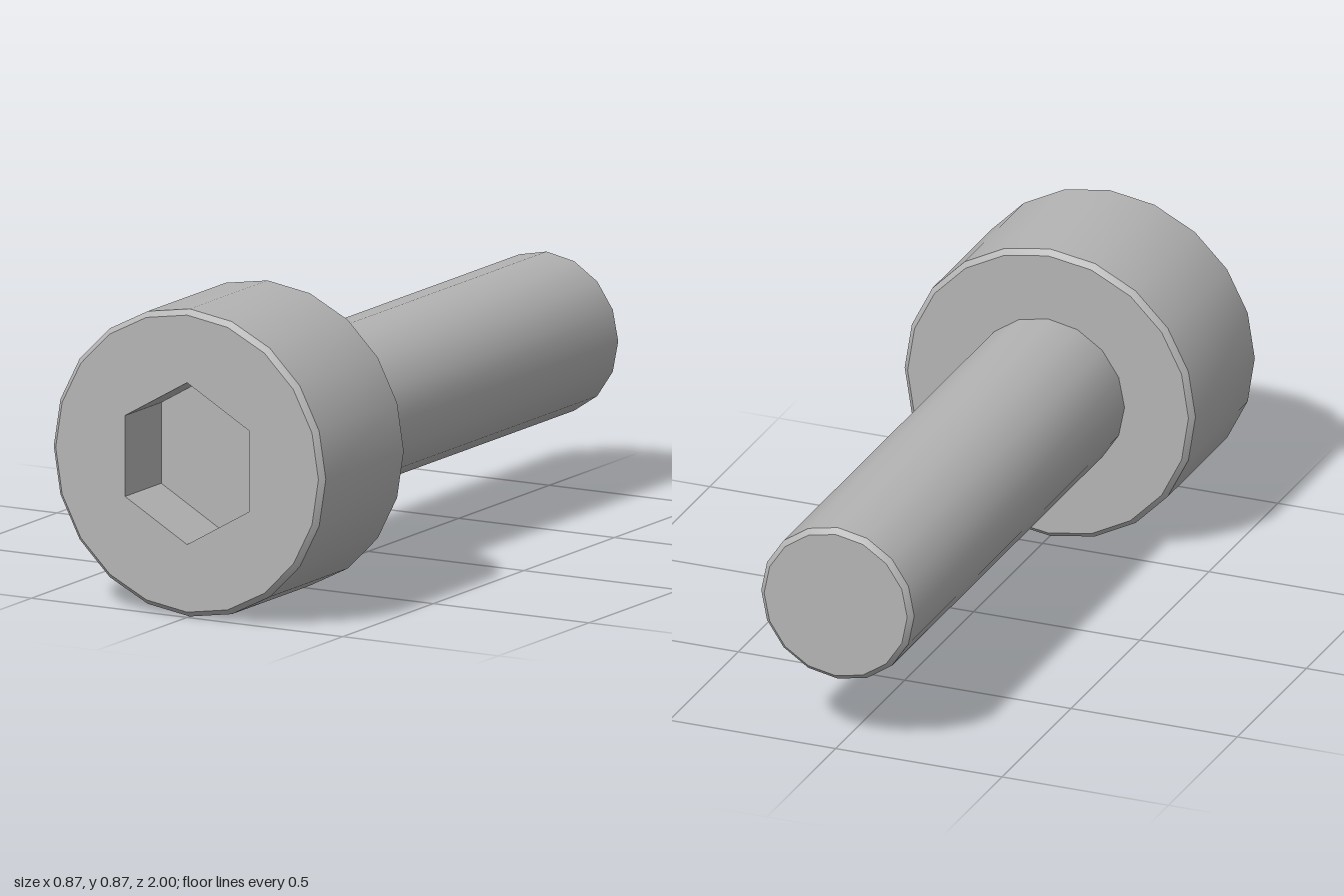
import * as THREE from 'three';
import { toCreasedNormals } from 'three/addons/utils/BufferGeometryUtils.js';

const HEAD_R = 0.437, SHAFT_R = 0.23, BEVEL = 0.015;
const HEAD_BACK = 0.54, FRONT = 1, BACK = -1, SOCKET_DEPTH = 0.2;

// Turn a [radius, z] profile around the z axis, with crisp bevels
function turned(profile, sides) {
  const points = profile.map(([r, z]) => new THREE.Vector2(r, z));
  const geometry = new THREE.LatheGeometry(points, sides).rotateX(Math.PI / 2);
  return toCreasedNormals(geometry, 0.5);
}

// Regular polygon outline with a corner at the top
function polygon(radius, sides, target) {
  const points = [];
  for (let i = 0; i < sides; i++) {
    const a = Math.PI / 2 + (i / sides) * Math.PI * 2;
    points.push(new THREE.Vector2(radius * Math.cos(a), radius * Math.sin(a)));
  }
  return target.setFromPoints(points);
}

export function createModel() {
  const steel = new THREE.MeshStandardMaterial({ color: 0xb4b4b4 });
  steel.name = 'steel grey';
  const model = new THREE.Group();
  model.name = 'socketScrew';

  function add(name, geometry) {
    const mesh = new THREE.Mesh(geometry, steel);
    mesh.name = name;
    mesh.position.y = HEAD_R;
    model.add(mesh);
  }

  // Head: underside, bevelled rims and side wall
  add('head', turned([
    [SHAFT_R - 0.02, HEAD_BACK],
    [HEAD_R - BEVEL, HEAD_BACK],
    [HEAD_R, HEAD_BACK + BEVEL],
    [HEAD_R, FRONT - BEVEL],
    [HEAD_R - BEVEL, FRONT],
  ], 20));

  // Front face with a hexagonal opening
  const face = polygon(HEAD_R - BEVEL, 20, new THREE.Shape());
  face.holes.push(polygon(SHAFT_R, 6, new THREE.Path()));
  add('headFace', new THREE.ShapeGeometry(face).translate(0, 0, FRONT));

  // Hexagonal socket, walls facing inward
  add('hexSocket', turned([
    [SHAFT_R, FRONT],
    [SHAFT_R, FRONT - SOCKET_DEPTH],
    [0, FRONT - SOCKET_DEPTH],
  ], 6));

  // Shaft with a bevelled tip
  add('shaft', turned([
    [0, BACK],
    [SHAFT_R - BEVEL, BACK],
    [SHAFT_R, BACK + BEVEL],
    [SHAFT_R, HEAD_BACK],
  ], 16));

  return model;
}
